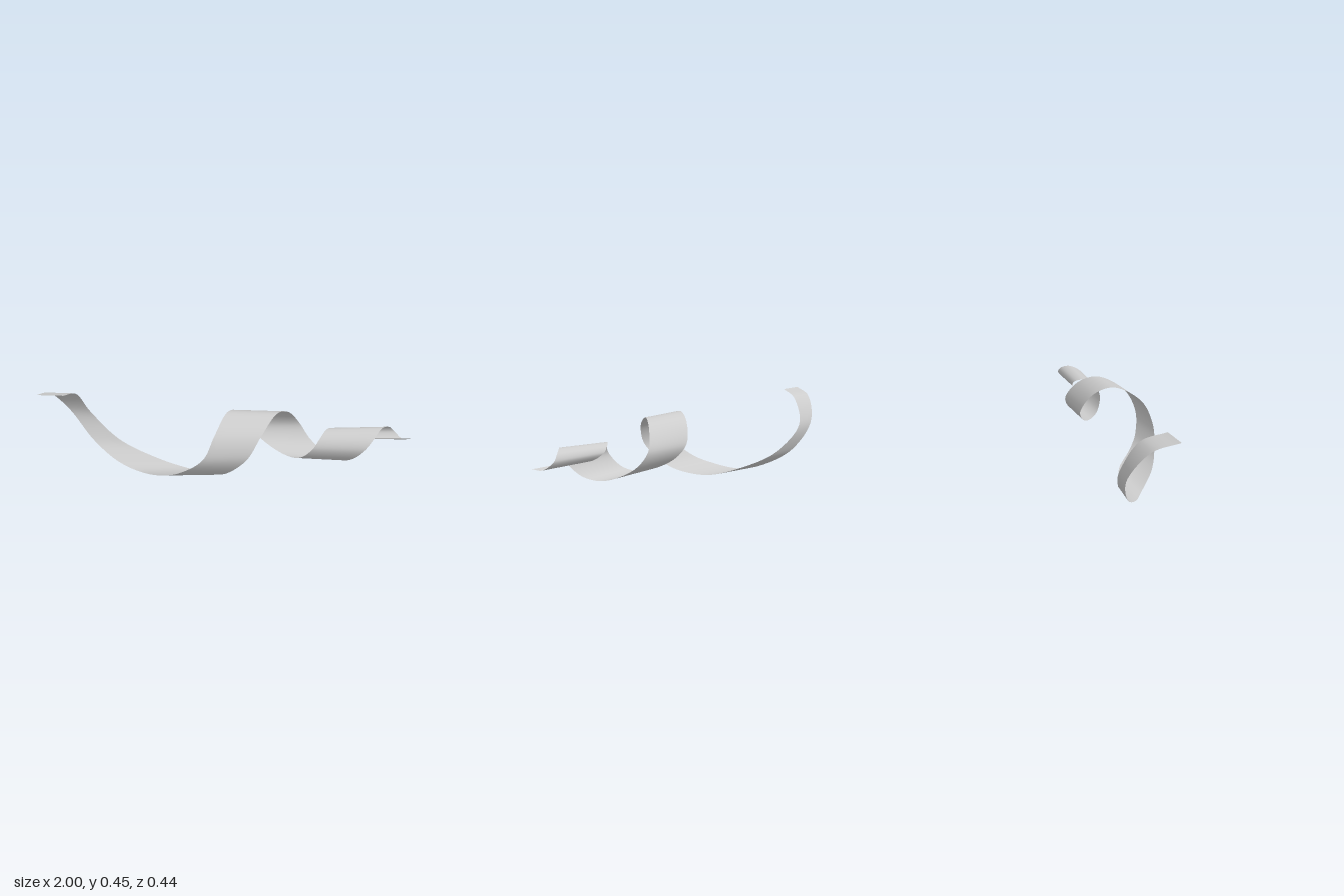
import * as THREE from 'three';

// Stations along the spiral: x of left-hand and right-hand edge, mean y, mean z,
// and how much further from the spiral axis the second edge lies.
const STATIONS = [
  [-1.00, -0.855, 0.449, -0.030, -0.003],
  [-0.955, -0.81, 0.405, -0.140, -0.005],
  [-0.87, -0.76, 0.260, -0.215, -0.008],
  [-0.75, -0.60, 0.105, -0.165, -0.010],
  [-0.61, -0.36, 0.027, -0.070, -0.011],
  [-0.48, -0.17, 0.008, 0.010, -0.011],
  [-0.34, -0.04, 0.049, 0.120, -0.006],
  [-0.23, 0.03, 0.106, 0.178, -0.006],
  [-0.11, 0.12, 0.210, 0.214, -0.009],
  [-0.055, 0.185, 0.318, 0.172, -0.009],
  [0.01, 0.27, 0.387, 0.045, -0.009],
  [0.065, 0.34, 0.347, -0.050, -0.006],
  [0.13, 0.41, 0.240, -0.110, 0.002],
  [0.20, 0.47, 0.160, -0.076, 0.005],
  [0.33, 0.58, 0.110, 0.020, 0.011],
  [0.40, 0.66, 0.134, 0.086, 0.012],
  [0.46, 0.73, 0.210, 0.123, 0.014],
  [0.495, 0.78, 0.264, 0.102, 0.013],
  [0.535, 0.83, 0.295, 0.045, 0.011],
  [0.575, 0.88, 0.280, 0.002, 0.006],
  [0.61, 0.91, 0.250, -0.011, 0.002],
  [0.67, 0.955, 0.217, 0.013, 0.001],
  [0.72, 1.00, 0.228, 0.028, 0],
];
const AXIS_Y = 0.225, AXIS_Z = 0.025;

// Smooth curve through one edge of the ribbon (side 0 or 1)
function edgeCurve(side) {
  const points = STATIONS.map((s) => {
    const dy = s[2] - AXIS_Y, dz = s[3] - AXIS_Z;
    const r = Math.hypot(dy, dz);
    const k = 1 + (side - 0.5) * s[4] / r;
    return new THREE.Vector3(s[side], AXIS_Y + dy * k, AXIS_Z + dz * k);
  });
  return new THREE.CatmullRomCurve3(points, false, 'centripetal');
}

export function createModel() {
  const group = new THREE.Group();
  group.name = 'spiralRibbon';

  // Ruled strip between the two edge curves
  const LENGTH = 176, WIDTH = 6;
  const geometry = new THREE.PlaneGeometry(1, 1, WIDTH, LENGTH);
  const position = geometry.attributes.position;
  const first = edgeCurve(0), second = edgeCurve(1);
  const p = new THREE.Vector3(), q = new THREE.Vector3();
  for (let i = 0; i <= LENGTH; i++) {
    first.getPoint(i / LENGTH, p);
    second.getPoint(i / LENGTH, q);
    for (let j = 0; j <= WIDTH; j++) {
      const v = p.clone().lerp(q, j / WIDTH);
      position.setXYZ(i * (WIDTH + 1) + j, v.x, v.y, v.z);
    }
  }
  geometry.computeVertexNormals();

  const ribbon = new THREE.Mesh(
    geometry,
    new THREE.MeshStandardMaterial({ color: 0xcccccc, side: THREE.DoubleSide })
  );
  ribbon.name = 'ribbon';
  group.add(ribbon);
  return group;
}
